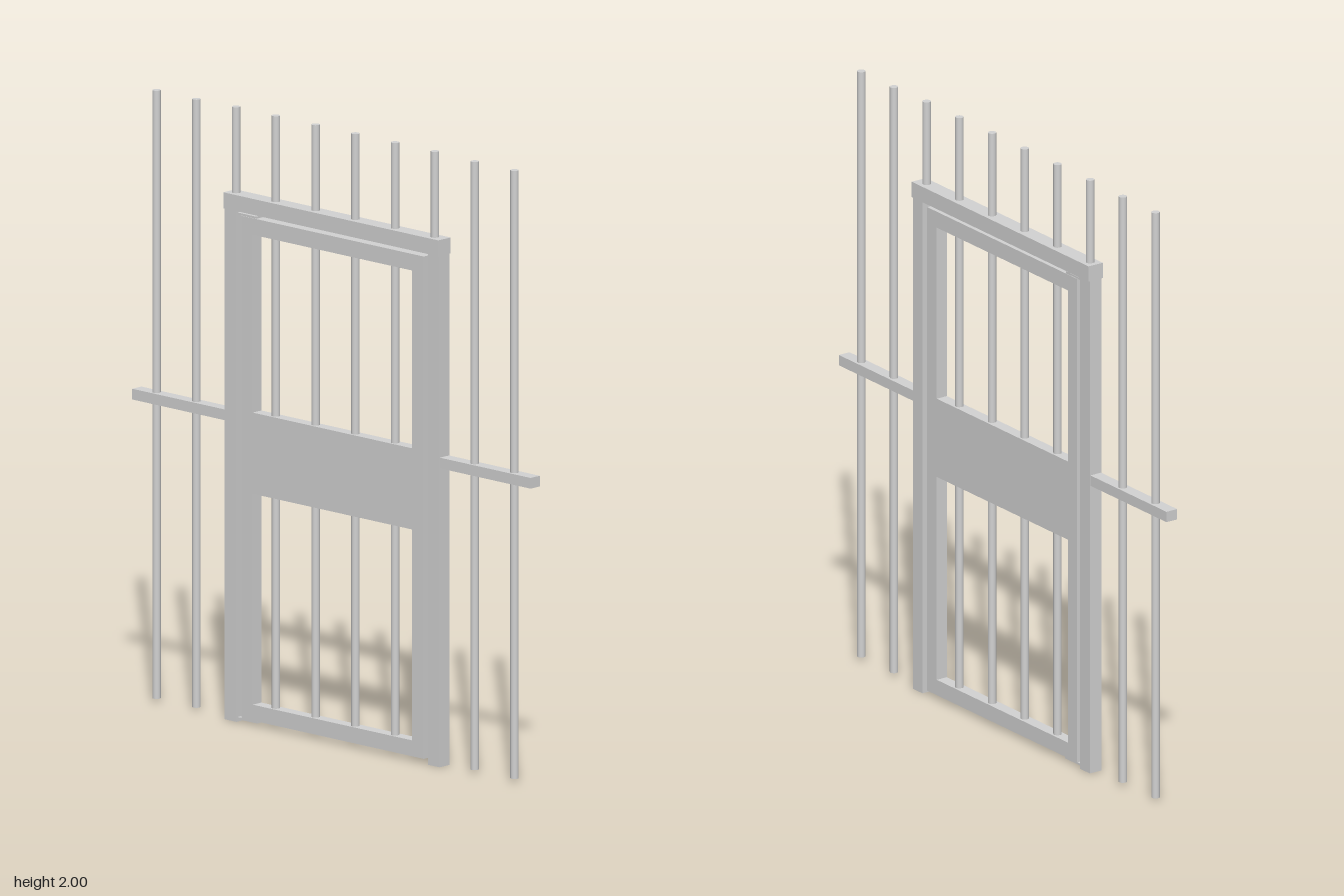
import * as THREE from 'three';

export function createModel() {
  const group = new THREE.Group();
  const steel = new THREE.MeshStandardMaterial({ color: 0xd2d2d2 });
  steel.name = 'light grey steel';

  const add = (name, geometry, x = 0, y = 0, z = 0) => {
    const mesh = new THREE.Mesh(geometry, steel);
    mesh.name = name;
    mesh.position.set(x, y, z);
    group.add(mesh);
  };
  // Box given by its x and y limits, centred on z = 0
  const box = (name, x0, x1, y0, y1, depth) =>
    add(name, new THREE.BoxGeometry(x1 - x0, y1 - y0, depth), (x0 + x1) / 2, (y0 + y1) / 2);
  // Upright round bar
  const bar = (name, x, y0, y1) =>
    add(name, new THREE.CylinderGeometry(0.0135, 0.0135, y1 - y0, 16), x, (y0 + y1) / 2);
  const rectangle = (path, x0, x1, y0, y1) =>
    path.moveTo(x0, y0).lineTo(x1, y0).lineTo(x1, y1).lineTo(x0, y1).closePath();

  // Door frame: two posts and a slightly deeper header
  box('leftPost', 0.427, 0.478, 0, 1.668, 0.046);
  box('rightPost', -0.47, -0.417, 0, 1.668, 0.046);
  box('header', -0.47, 0.478, 1.668, 1.72, 0.056);

  // Door leaf: one plate with an upper and a lower opening
  const leaf = new THREE.Shape();
  rectangle(leaf, -0.398, 0.406, 0.015, 1.654);
  for (const [y0, y1] of [[0.067, 0.755], [1.02, 1.6]]) {
    const hole = new THREE.Path();
    rectangle(hole, -0.348, 0.355, y0, y1);
    leaf.holes.push(hole);
  }
  const depth = 0.04;
  add('doorLeaf', new THREE.ExtrudeGeometry(leaf, { depth, bevelEnabled: false }), 0, 0, -depth / 2);

  // Pivot plates above and below the hinge side
  box('topPivot', -0.417, -0.335, 1.654, 1.661, 0.036);
  box('bottomPivot', -0.417, -0.33, 0.008, 0.015, 0.036);

  // Side rails
  box('rightRail', -0.878, -0.47, 0.975, 1.01, 0.042);
  box('leftRail', 0.478, 0.878, 0.975, 1.01, 0.042);

  // Ten evenly spaced bars: full height outside, split by the door inside
  for (let i = 0; i < 10; i++) {
    const x = -0.791 + i * 0.1753;
    if (i < 2 || i > 7) {
      bar('sideBar', x, 0.012, 1.996);
      continue;
    }
    bar('upperBar', x, 1.715, 2);
    if (i > 2 && i < 7) {
      bar('doorBarTop', x, 1.015, 1.605);
      bar('doorBarBottom', x, 0.063, 0.76);
    }
  }
  return group;
}
